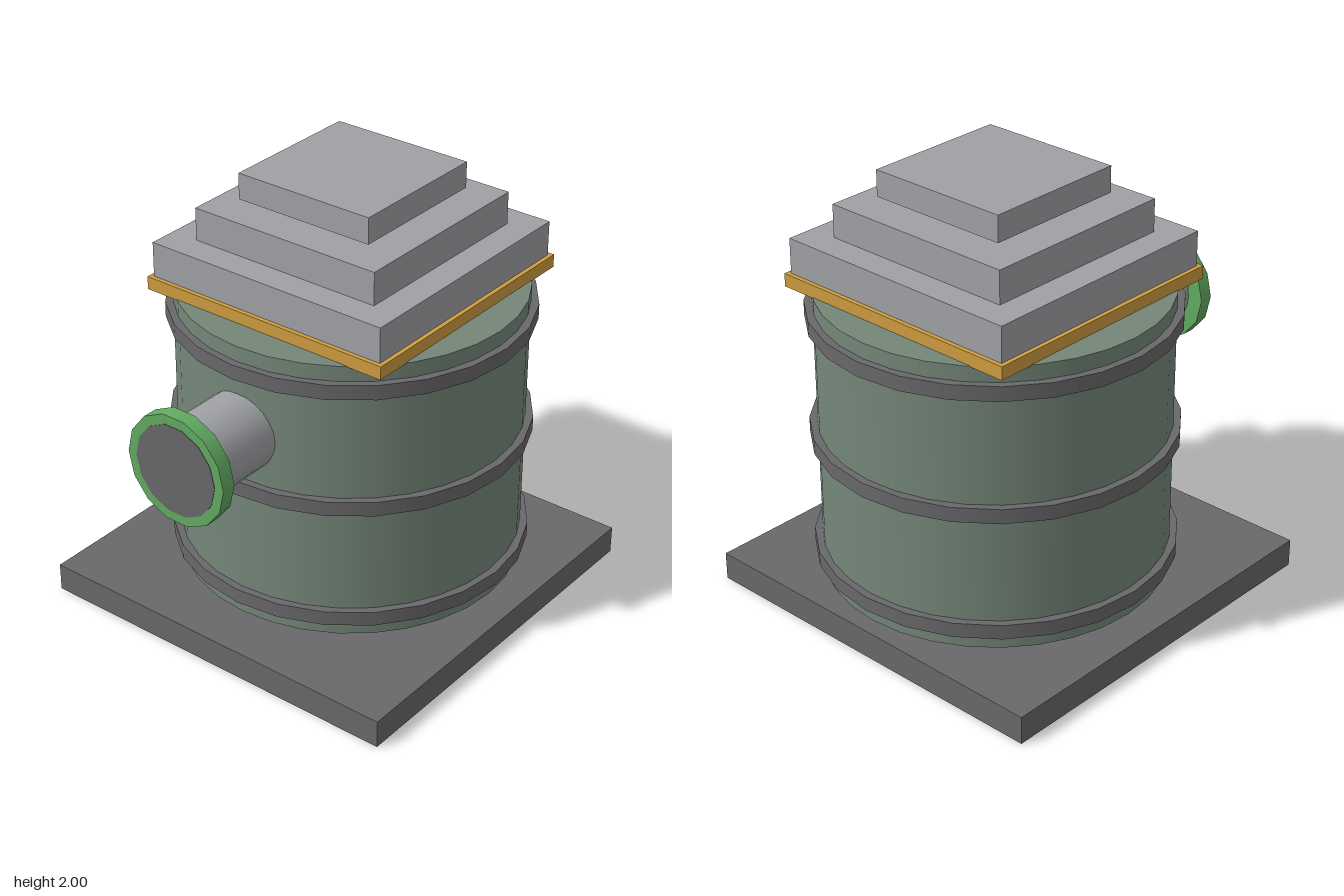
import * as THREE from 'three';

const mat = (name, color) => {
  const m = new THREE.MeshStandardMaterial({ color });
  m.name = name;
  return m;
};

export function createModel() {
  const model = new THREE.Group();
  model.name = 'barrelTank';

  const darkGrey = mat('darkGrey', 0x69696b);
  const tankGreen = mat('tankGreen', 0x758779);
  const lightGrey = mat('lightGrey', 0xa0a1a5);
  const gold = mat('gold', 0xce9c40);
  const brightGreen = mat('brightGreen', 0x62ab62);

  const axisZ = -0.173; // centre of the tank and its lid

  const add = (name, geometry, material, x, y, z) => {
    const mesh = new THREE.Mesh(geometry, material);
    mesh.name = name;
    mesh.position.set(x, y, z);
    model.add(mesh);
  };
  // Square slab and upright drum, both given by bottom and top heights
  const slab = (name, size, y0, y1, z, material) =>
    add(name, new THREE.BoxGeometry(size, y1 - y0, size), material, 0, (y0 + y1) / 2, z);
  const drum = (name, radius, y0, y1, sides, material) =>
    add(name, new THREE.CylinderGeometry(radius, radius, y1 - y0, sides), material, 0, (y0 + y1) / 2, axisZ);
  // Cylinder lying along z
  const pipe = (name, radius, z0, z1, sides, material) => {
    const g = new THREE.CylinderGeometry(radius, radius, z1 - z0, sides);
    g.rotateY(Math.PI / 2).rotateX(Math.PI / 2);
    add(name, g, material, 0, 1.08, (z0 + z1) / 2);
  };

  // Base plate
  slab('basePlate', 1.8, 0, 0.13, -0.09, darkGrey);

  // Tank with three hoops
  drum('tank', 0.77, 0.16, 1.484, 32, tankGreen);
  [0.26, 0.82, 1.38].forEach((y, i) => drum('hoop' + (i + 1), 0.805, y - 0.034, y + 0.034, 24, darkGrey));

  // Stepped lid on a gold trim, with the cap floating just above
  slab('lidTrim', 1.24, 1.48, 1.54, axisZ - 0.002, gold);
  slab('lowerStep', 1.2, 1.54, 1.7, axisZ - 0.002, lightGrey);
  slab('middleStep', 0.94, 1.7, 1.85, axisZ - 0.002, lightGrey);
  slab('topCap', 0.68, 1.88, 2, axisZ - 0.002, lightGrey);

  // Front outlet: pipe, flange and dark mouth
  pipe('outletPipe', 0.18, 0.54, 0.93, 24, lightGrey);
  pipe('outletFlange', 0.255, 0.92, 0.988, 14, brightGreen);
  pipe('outletMouth', 0.21, 0.985, 0.99, 14, darkGrey);

  return model;
}
